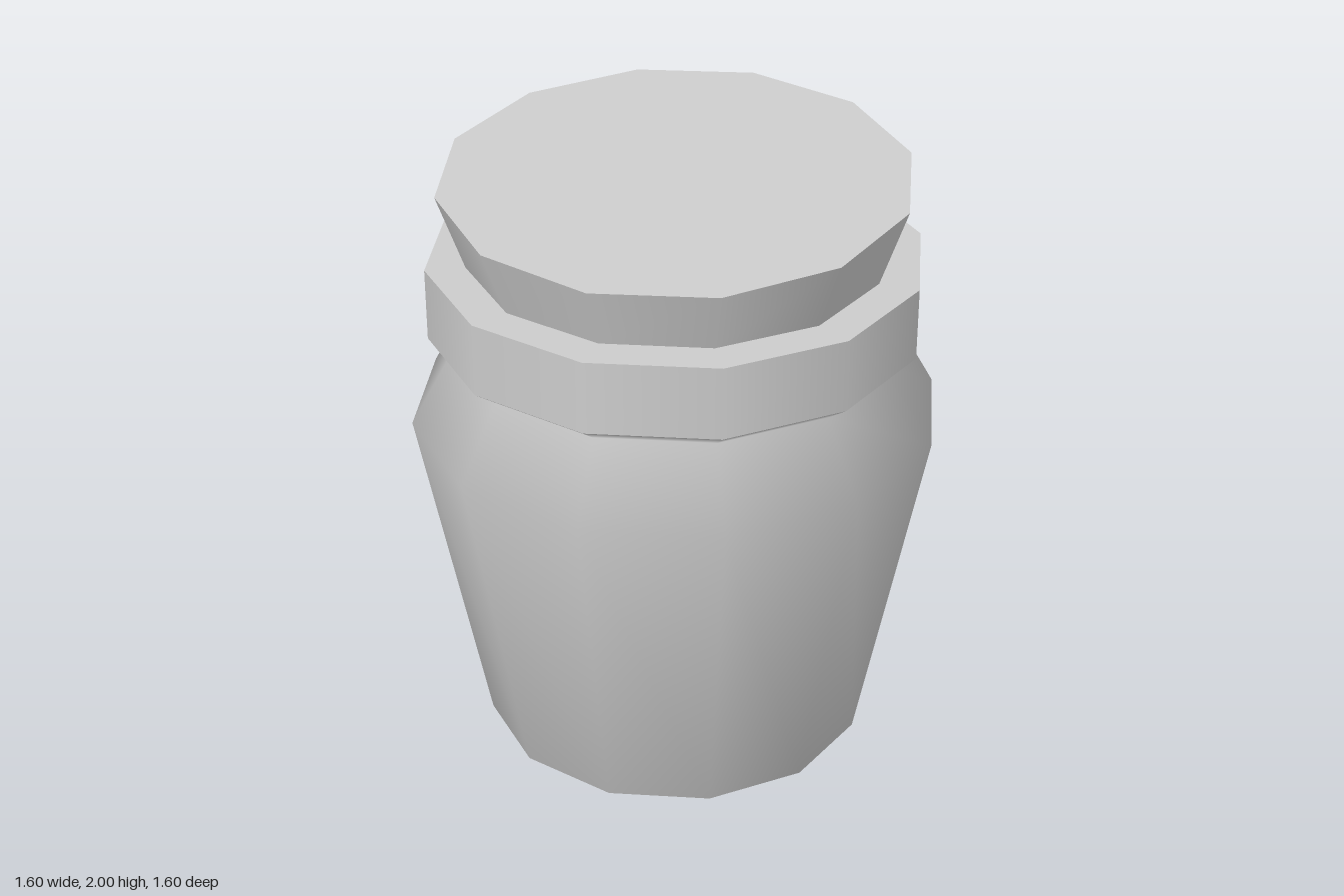
import * as THREE from 'three';

const SIDES = 12;
const TILT_X = 0.06, TILT_Z = -0.053; // slope of the stopper's top

export function createModel() {
  const group = new THREE.Group();
  const material = new THREE.MeshStandardMaterial({ color: 0xcccccc });
  const add = (name, geometry, y = 0) => {
    const mesh = new THREE.Mesh(geometry, material);
    mesh.name = name;
    mesh.position.y = y;
    group.add(mesh);
  };

  // Jar body: smooth turned profile, from the base centre to the flared neck
  const profile = [[0, 0], [0.33, 0], [0.595, 0.14], [0.8, 1.2], [0.67, 1.43], [0.74, 1.48]];
  add('jarBody', new THREE.LatheGeometry(profile.map(([r, y]) => new THREE.Vector2(r, y)), SIDES));

  // Rim collar
  add('rim', new THREE.CylinderGeometry(0.74, 0.74, 0.22, SIDES), 1.59);

  // Stopper: flared plug with a slanted top
  const stopper = new THREE.CylinderGeometry(0.7, 0.62, 0.245, SIDES);
  const { position, normal } = stopper.attributes;
  const topNormal = new THREE.Vector3(-TILT_X, 1, -TILT_Z).normalize();
  for (let i = 0; i < position.count; i++) {
    if (position.getY(i) < 0) continue;
    const slant = position.getX(i) * TILT_X + position.getZ(i) * TILT_Z;
    position.setY(i, position.getY(i) + slant);
    if (normal.getY(i) > 0.9) normal.setXYZ(i, topNormal.x, topNormal.y, topNormal.z);
  }
  add('stopper', stopper, 1.8225);

  return group;
}
